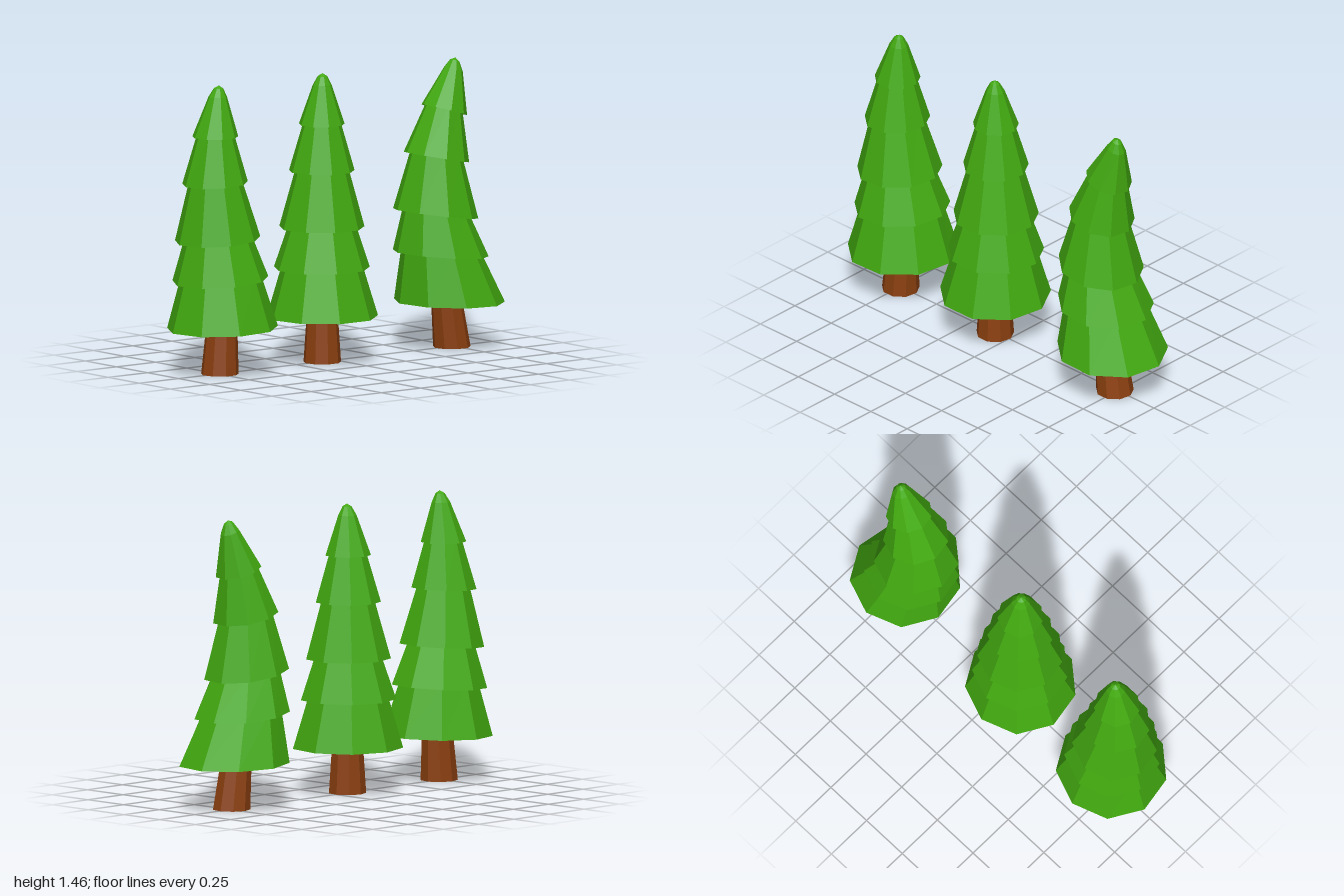
import * as THREE from 'three';

const SIDES = 9;

// Nine-sided ring with its first corner at the back; slope tilts it along x
function ring({ x, y, z = 0, r, slope = 0 }) {
  return Array.from({ length: SIDES }, (_, i) => {
    const a = (i / SIDES) * Math.PI * 2;
    const dx = r * Math.sin(a);
    return new THREE.Vector3(x + dx, y + slope * dx, z - r * Math.cos(a));
  });
}

// Faceted skin through a stack of rings; a zero radius closes an end
function loft(levels) {
  const pts = [];
  for (let k = 0; k < levels.length - 1; k++) {
    const low = ring(levels[k]), up = ring(levels[k + 1]);
    for (let i = 0; i < SIDES; i++) {
      const j = (i + 1) % SIDES;
      if (levels[k].r > 0) pts.push(low[j], low[i], up[i]);
      if (levels[k + 1].r > 0) pts.push(low[j], up[i], up[j]);
    }
  }
  const g = new THREE.BufferGeometry().setFromPoints(pts);
  g.computeVertexNormals();
  return g;
}

// Skirt rim height and radius, and radius where each skirt tucks under the next
const TIERS = [
  { y: 0.23, r: 0.281, top: 0.2 },
  { y: 0.475, r: 0.243, top: 0.165 },
  { y: 0.68, r: 0.216, top: 0.13 },
  { y: 0.965, r: 0.166, top: 0.09 },
  { y: 1.2, r: 0.116 },
];

// base: trunk foot; xs and slopes: one per tier, then the shoulder; tip: x of the top
const TREES = [
  { name: 'rightTree', base: -0.742, xs: [-0.727, -0.737, -0.754, -0.77, -0.768, -0.755],
    slopes: [0.03, 0.065, 0.07, 0.05, 0, -0.03], tip: -0.75 },
  { name: 'middleTree', base: -0.09, xs: Array(6).fill(-0.09), slopes: Array(6).fill(0), tip: -0.09 },
  { name: 'leftTree', base: 0.735, xs: [0.718, 0.667, 0.635, 0.64, 0.69, 0.746],
    slopes: [-0.03, -0.09, -0.155, -0.21, -0.3, -0.35], tip: 0.757 },
];

export function createModel() {
  const model = new THREE.Group();
  model.name = 'pineTrees';
  const leaf = new THREE.MeshStandardMaterial({ name: 'pine green', color: 0x42a910, flatShading: true });
  const bark = new THREE.MeshStandardMaterial({ name: 'bark brown', color: 0x8c4010, flatShading: true });

  for (const { name, base, xs, slopes, tip } of TREES) {
    const tree = new THREE.Group();
    tree.name = name;
    const lean = xs[0] - base;

    // Trunk, running up into the hollow of the lowest skirt
    const topX = base + lean * (name === 'leftTree' ? 2.4 : 1);
    const trunk = new THREE.Mesh(loft([
      { x: base, y: 0, z: 0.006, r: 0 },
      { x: base, y: 0, z: 0.006, r: 0.095 },
      { x: topX, y: 0.3, z: 0.006, r: 0.075, slope: slopes[0] },
      { x: topX, y: 0.3, z: 0.006, r: 0 },
    ]), bark);
    trunk.name = 'trunk';

    // Foliage: recessed underside, five overlapping skirts and a blunt tip
    const levels = [
      { x: xs[0], y: 0.29, z: 0.006, r: 0, slope: slopes[0] },
      { x: xs[0], y: 0.29, z: 0.006, r: 0.2, slope: slopes[0] },
    ];
    TIERS.forEach(({ y, r, top }, i) => {
      levels.push({ x: xs[i], y, z: i ? 0.002 : 0.007, r, slope: slopes[i] });
      if (top) {
        levels.push({ x: xs[i + 1], y: TIERS[i + 1].y + 0.025, z: 0.004, r: top, slope: slopes[i + 1] });
      }
    });
    levels.push(
      { x: xs[5], y: 1.4, z: 0.006, r: 0.047, slope: slopes[5] },
      { x: (xs[5] + tip * 2) / 3, y: 1.443, z: 0.008, r: 0.024, slope: slopes[5] },
      { x: tip, y: 1.458, z: 0.008, r: 0 },
    );
    const foliage = new THREE.Mesh(loft(levels), leaf);
    foliage.name = 'foliage';

    tree.add(trunk, foliage);
    model.add(tree);
  }
  return model;
}
